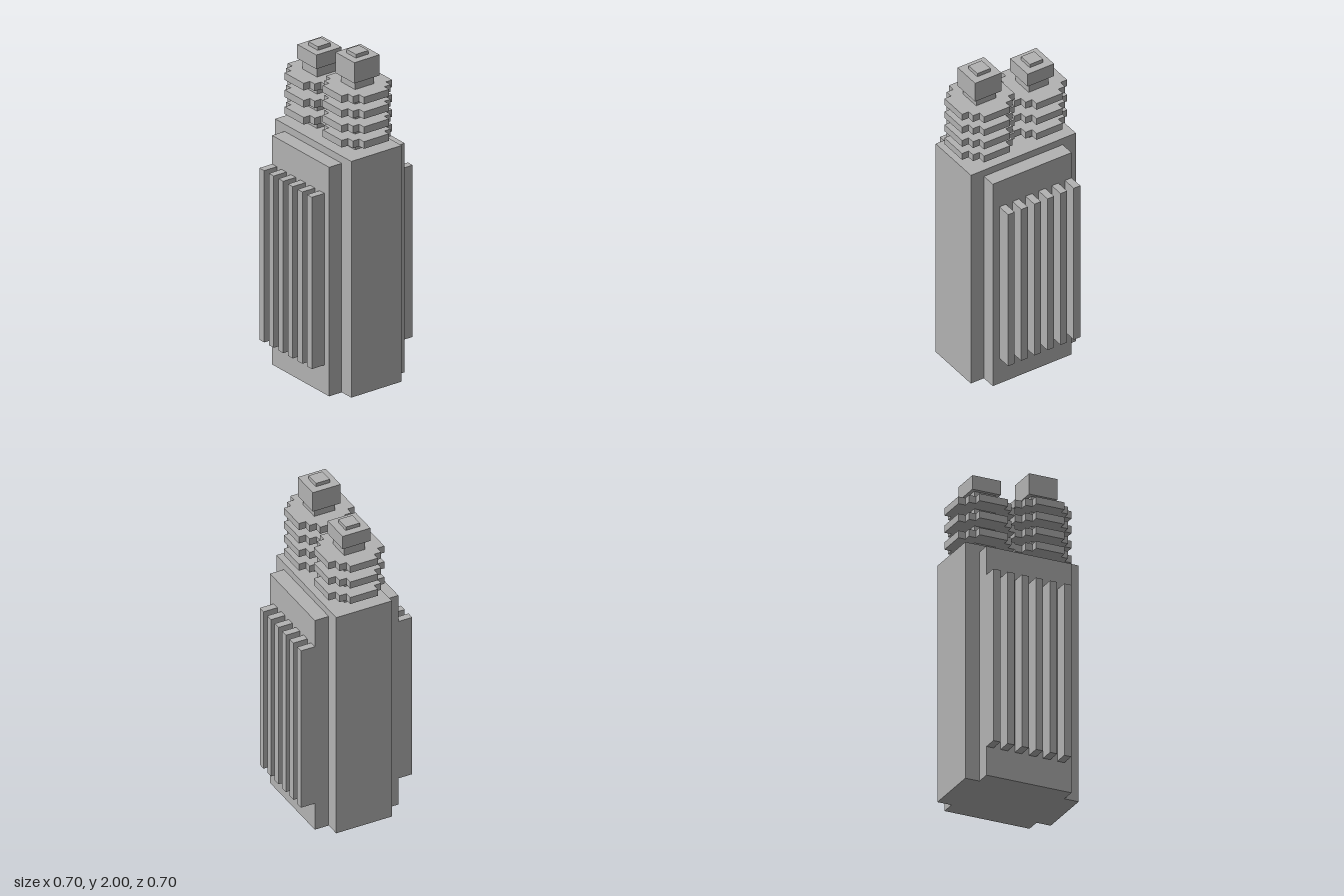
import * as THREE from 'three';

const U = 2 / 46; // block unit: the model is 46 units tall

export function createModel() {
  const model = new THREE.Group();
  const grey = new THREE.MeshStandardMaterial({ color: 0xb2b2b2 });
  grey.name = 'grey';

  // Box from its horizontal centre, bottom and top heights, all in model units
  function box(parent, name, w, d, y0, y1, x = 0, z = 0) {
    const mesh = new THREE.Mesh(new THREE.BoxGeometry(w, y1 - y0, d), grey);
    mesh.position.set(x, (y0 + y1) / 2, z);
    mesh.name = name;
    parent.add(mesh);
  }

  // Main tank with a raised panel and six cooling fins on front and back
  box(model, 'tank', 16 * U, 8 * U, 0, 33 * U);
  for (const [side, label] of [[1, 'front'], [-1, 'back']]) {
    box(model, label + 'Panel', 12 * U, 2 * U, 0, 32 * U, 0, side * 5 * U);
    const fins = new THREE.Group();
    fins.name = label + 'Fins';
    for (let i = 0; i < 6; i++) {
      box(fins, 'fin', U, 2 * U, 4 * U, 28 * U, (2 * i - 5.5) * U, side * 7 * U);
    }
    model.add(fins);
  }

  // Insulator disc: a stepped round outline, mirrored from one quarter
  const quarter = [[4, 2], [3, 2], [3, 3], [2, 3], [2, 4]];
  const outline = [];
  for (let q = 0; q < 4; q++) {
    for (const [a, b] of quarter) {
      const [x, y] = [[a, b], [-b, a], [-a, -b], [b, -a]][q];
      outline.push(new THREE.Vector2(x * U, y * U));
    }
  }
  const discGeometry = new THREE.ExtrudeGeometry(new THREE.Shape(outline), { depth: U, bevelEnabled: false });
  discGeometry.rotateX(-Math.PI / 2);

  // Insulator: post, stacked discs, cap and terminal
  function insulator(name, x, discs, capBottom, capTop, tip) {
    const group = new THREE.Group();
    group.name = name;
    group.position.x = x;
    box(group, 'post', 3 * U, 3 * U, 33 * U, capBottom);
    for (const y of discs) {
      const disc = new THREE.Mesh(discGeometry, grey);
      disc.position.y = y;
      disc.name = 'disc';
      group.add(disc);
    }
    box(group, 'cap', 4 * U, 4 * U, capBottom, capTop);
    box(group, 'terminal', 2 * U, 2 * U, capTop, tip);
    model.add(group);
  }
  insulator('rightInsulator', -4 * U, [1.497, 1.6, 1.704], 1.81, 1.895, 1.917);
  insulator('leftInsulator', 4 * U, [1.487, 1.577, 1.668, 1.757], 1.852, 1.978, 2);

  return model;
}
